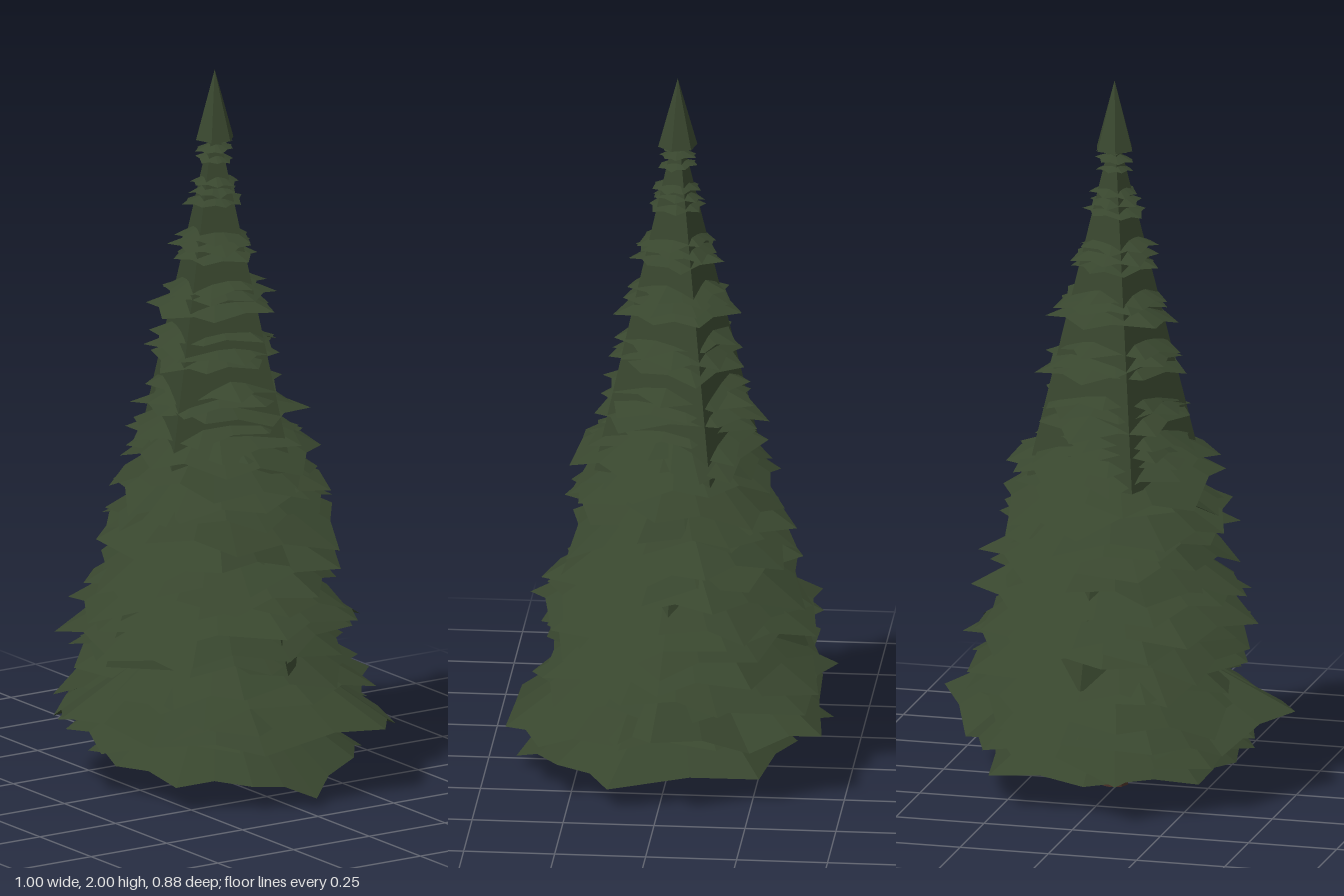
import * as THREE from 'three';

const CX = 0.01, CZ = -0.02; // trunk axis

export function createModel() {
  const tree = new THREE.Group();
  tree.name = 'coniferTree';
  const needles = new THREE.MeshStandardMaterial({ color: 0x38462e, flatShading: true });
  needles.name = 'needleGreen';
  const bark = new THREE.MeshStandardMaterial({ color: 0x4a3128, flatShading: true });
  bark.name = 'barkBrown';

  let seed = 11;
  const rand = () => (seed = (seed * 16807) % 2147483647) / 2147483647;
  const jitter = (a) => (rand() * 2 - 1) * a;

  const add = (name, geometry, material, x, y, z, turn = 0) => {
    const mesh = new THREE.Mesh(geometry, material);
    mesh.name = name;
    mesh.position.set(x, y, z);
    mesh.rotation.y = turn;
    tree.add(mesh);
  };

  // Jagged skirt of branches: tips with raised notches between, fanned to an
  // upper apex and closed by a recessed underside.
  const addSkirt = (name, tips, rise, notch, lift, hollow) => {
    tips.sort((a, b) => Math.atan2(a[2], a[0]) - Math.atan2(b[2], b[0]));
    const ring = [];
    let low = 0;
    tips.forEach((t, i) => {
      const p = new THREE.Vector3(...t);
      const q = new THREE.Vector3(...tips[(i + 1) % tips.length]);
      const mid = p.clone().lerp(q, 0.5 + jitter(0.12));
      mid.set(mid.x * notch, mid.y + lift, mid.z * notch);
      ring.push(p, mid);
      low += p.y / tips.length;
    });
    const apex = new THREE.Vector3(CX, low + rise, CZ);
    const under = new THREE.Vector3(CX, low + hollow, CZ);
    const points = [];
    ring.forEach((p, i) => {
      const q = ring[(i + 1) % ring.length];
      points.push(apex, q, p, under, p, q);
    });
    const geometry = new THREE.BufferGeometry().setFromPoints(points);
    geometry.computeVertexNormals();
    add(name, geometry, needles, 0, 0, 0);
  };

  // Ring of irregular branch tips
  const makeTips = (count, radius, y, dr, dy) => {
    const start = rand() * Math.PI * 2;
    return Array.from({ length: count }, (_, i) => {
      const a = start + ((i + jitter(0.2)) / count) * Math.PI * 2;
      const r = radius * (1 + jitter(dr));
      return [CX + r * Math.cos(a), y + jitter(dy), CZ + r * Math.sin(a)];
    });
  };

  // Trunk
  add('trunk', new THREE.CylinderGeometry(0.034, 0.038, 0.5, 8), bark, CX, 0.25, CZ);

  // Four-sided inner cores and the crown tip
  add('upperCore', new THREE.ConeGeometry(0.245, 0.99, 4), needles, CX, 1.385, CZ, 0.46);
  add('lowerCore', new THREE.ConeGeometry(0.36, 0.9, 4), needles, CX, 0.81, CZ);
  add('crownTip', new THREE.ConeGeometry(0.055, 0.195, 6), needles, CX, 1.9025, CZ, 0.3);

  // Two lowest, widest skirts
  addSkirt('bottomSkirt', [
    [0.39, 0.06, 0.14], [0.26, 0.08, 0.29], [0.05, 0.025, 0.42], [-0.12, 0.07, 0.36], [-0.3, 0.07, 0.25],
    [-0.33, 0.08, 0], [-0.28, 0.07, -0.21], [0.01, 0.08, -0.35], [0.3, 0.07, -0.27],
  ], 0.28, 0.97, 0.015, 0.1);
  addSkirt('wideSkirt', [
    [-0.5, 0.24, -0.01], [-0.37, 0.19, 0.23], [-0.12, 0.17, 0.42], [0.27, 0.19, 0.43], [0.37, 0.17, 0.33],
    [0.4, 0.19, 0.12], [0.5, 0.24, 0.01], [0.37, 0.17, -0.25], [0.27, 0.19, -0.44], [-0.2, 0.2, -0.4],
    [-0.36, 0.17, -0.26],
  ], 0.3, 0.98, 0.02, 0.1);

  // Dense lower skirts
  for (let i = 0; i < 16; i++) {
    const y = 0.15 + i * 0.05;
    const radius = y < 0.38 ? 0.41 : 0.41 - (y - 0.38) * 0.25;
    addSkirt('lowerSkirt', makeTips(8, radius, y, 0.1, 0.04),
      radius * 0.62, 0.95, 0.025, 0.08);
  }

  // Thin clusters spaced up the crown: height, radius
  const clusters = [
    [0.96, 0.245], [1.075, 0.218], [1.215, 0.185], [1.36, 0.158],
    [1.505, 0.12], [1.655, 0.078], [1.775, 0.052],
  ];
  for (const [y, radius] of clusters) {
    for (let k = -1; k <= 1; k++) {
      addSkirt('upperSkirt', makeTips(7, radius * (1 - k * 0.08), y + k * 0.028, 0.13, radius * 0.08),
        radius * 0.45, 0.92, radius * 0.06, radius * 0.1);
    }
  }
  return tree;
}
